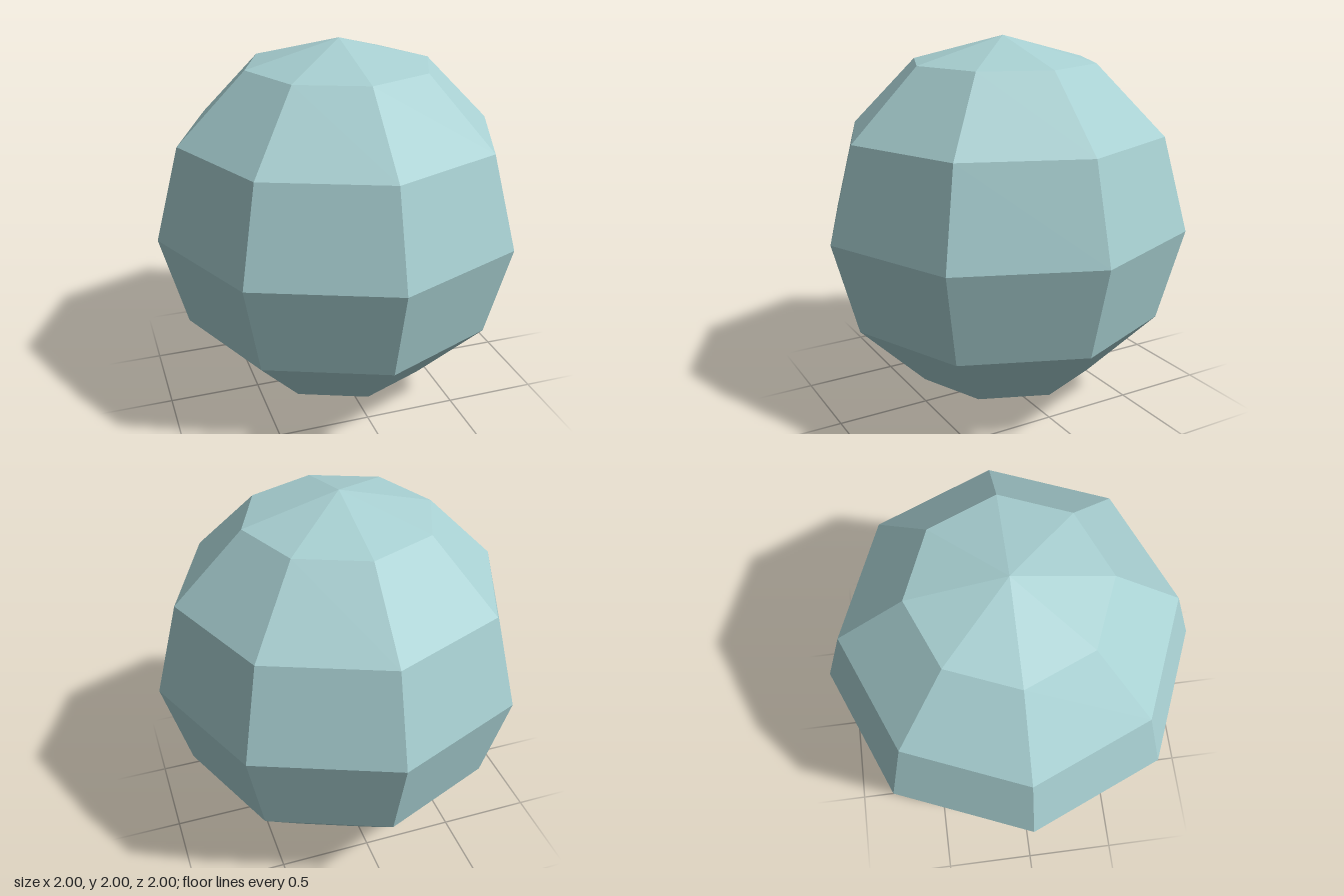
import * as THREE from 'three';

export function createModel() {
  const group = new THREE.Group();
  group.name = 'model';

  // Low-poly ball: eight sides around, six bands from pole to pole
  const material = new THREE.MeshStandardMaterial({ color: 0xa8d0d2, flatShading: true });
  const ball = new THREE.Mesh(new THREE.SphereGeometry(1, 8, 6), material);
  ball.name = 'ball';
  ball.position.y = 1;
  group.add(ball);

  return group;
}
